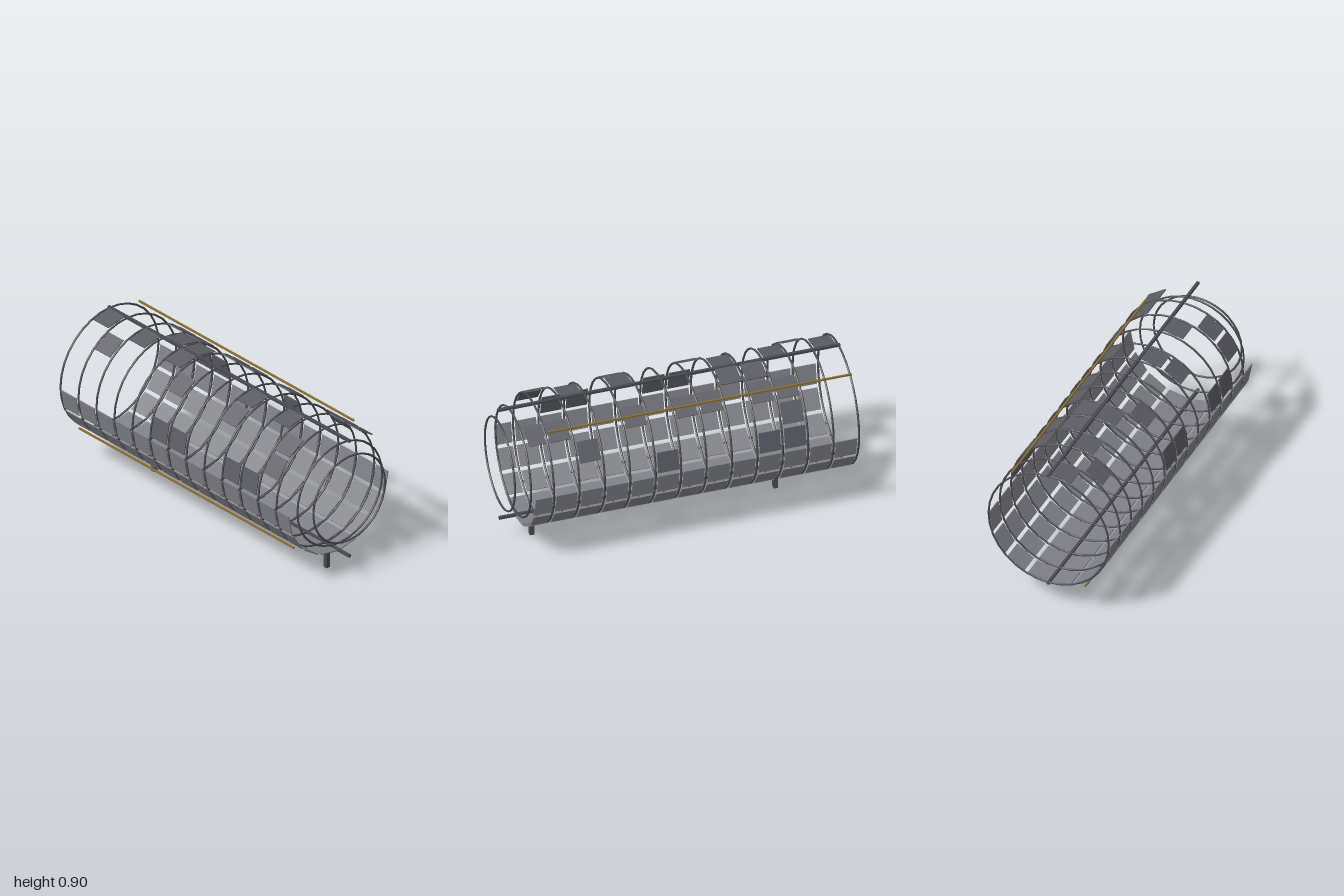
import * as THREE from 'three';

export function createModel() {
  const root = new THREE.Group();
  const mat = (color) => new THREE.MeshStandardMaterial({ color, flatShading: true });
  const frame = mat(0x4a4b52), lowerSkin = mat(0x808188), upperSkin = mat(0x5c5d64), brass = mat(0x8a7030);
  const CY = 0.523, R = 0.369;

  const add = (name, geo, material, x, y, z, parent = root) => {
    const m = new THREE.Mesh(geo, material);
    m.name = name;
    m.position.set(x, y, z);
    parent.add(m);
    return m;
  };
  const ring = (name, r, z) => add(name, new THREE.TorusGeometry(r, 0.006, 6, 32), frame, 0, CY, z);

  // Hull ribs, evenly spaced, with two smaller rings at the front
  const ribZ = Array.from({ length: 13 }, (_, i) => 0.796 - i * 0.149);
  ribZ.forEach((z) => ring('rib', R, z));
  ring('frontRingMiddle', 0.319, 0.915);
  ring('frontRingSmall', 0.27, 0.993);

  // Top and bottom spines
  for (const s of [1, -1]) {
    add(s > 0 ? 'topSpine' : 'bottomSpine', new THREE.BoxGeometry(0.016, 0.016, 2), frame, 0, CY + s * 0.371, 0);
  }

  // Support legs
  for (const z of [0.808, -0.62]) {
    add('leg', new THREE.BoxGeometry(0.025, 0.15, 0.025), frame, 0, 0.075, z);
  }

  // Brass side rods, diagonally opposite
  for (const s of [1, -1]) {
    add('sideRod', new THREE.BoxGeometry(0.01, 0.01, 1.78), brass, s * 0.225, CY + s * 0.323, -0.105);
  }

  // Skin plates: bays present in each upper row, from the side up to the crown
  const leftRows = [[5, 9, 10], [2, 10], [0, 1, 4, 6, 7, 9, 10], [8, 9]];
  const rightRows = [[2, 3, 6, 7], [1], [1, 4, 7, 11], [2, 4, 8, 10, 12]];
  const skin = new THREE.Group();
  skin.name = 'skin';
  root.add(skin);
  const edges = [0.915, ...ribZ];
  for (let bay = 0; bay < 13; bay++) {
    const length = (edges[bay] - edges[bay + 1]) * 0.83;
    const z = (edges[bay] + edges[bay + 1]) / 2;
    const plate = new THREE.BoxGeometry(0.006, 0.124, length);
    for (let k = 0; k < 16; k++) {
      const upper = k < 8;
      const row = k < 4 ? leftRows[k] : rightRows[7 - k];
      if (upper && !row.includes(bay)) continue;
      const a = ((k + 0.5) * Math.PI) / 8;
      const p = add(upper ? 'upperPlate' : 'lowerPlate', plate, upper ? upperSkin : lowerSkin,
        R * Math.cos(a), CY + R * Math.sin(a), z, skin);
      p.rotation.z = a;
    }
  }
  return root;
}
